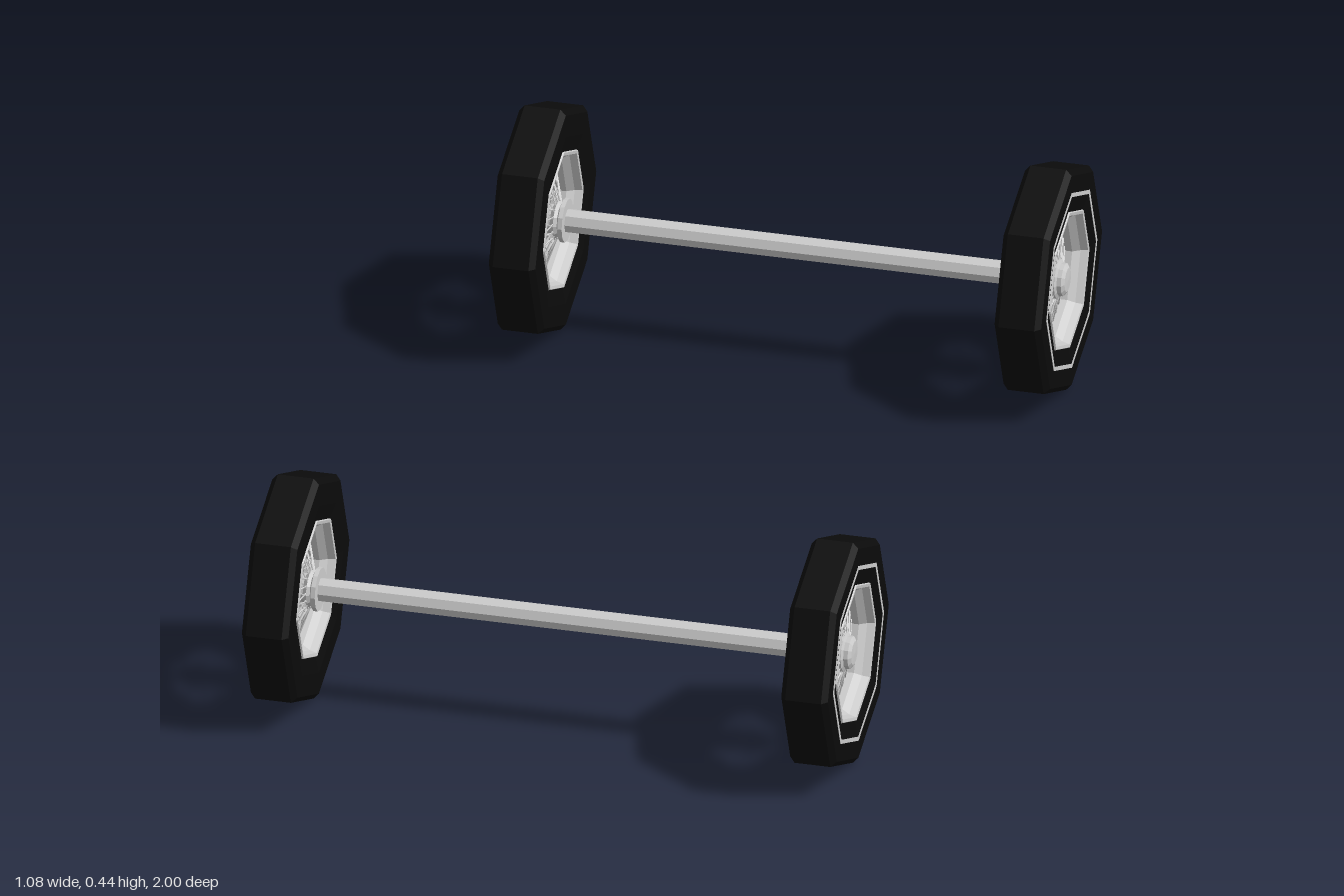
import * as THREE from 'three';
import { mergeGeometries } from 'three/addons/utils/BufferGeometryUtils.js';

const SIDES = 8;
const black = new THREE.MeshStandardMaterial({ color: 0x0b0b0b, flatShading: true });
const metal = new THREE.MeshStandardMaterial({ color: 0xcccccc, flatShading: true });
const thinMetal = new THREE.MeshStandardMaterial({ color: 0xcccccc, flatShading: true, side: THREE.DoubleSide });

// Turns a [radius, x] profile around the x axis
function turned(profile, sides = SIDES) {
  const points = profile.map(([r, x]) => new THREE.Vector2(r, x));
  return new THREE.LatheGeometry(points, sides).rotateZ(-Math.PI / 2);
}

function named(name, geometry, material) {
  const mesh = new THREE.Mesh(geometry, material);
  mesh.name = name;
  return mesh;
}

// Thin wire between two points
function wire(a, b, radius) {
  const dir = b.clone().sub(a);
  const g = new THREE.CylinderGeometry(radius, radius, dir.length(), 4, 1, true);
  g.applyQuaternion(new THREE.Quaternion().setFromUnitVectors(new THREE.Vector3(0, 1, 0), dir.normalize()));
  const mid = a.clone().add(b).multiplyScalar(0.5);
  return g.translate(mid.x, mid.y, mid.z);
}

// Point on a circle, or on an octagon with corners on the axes
function around(x, radius, angle, octagon) {
  const step = (Math.PI * 2) / SIDES;
  const local = (((angle % step) + step) % step) - step / 2;
  const r = octagon ? (radius * Math.cos(step / 2)) / Math.cos(local) : radius;
  return new THREE.Vector3(x, r * Math.cos(angle), r * Math.sin(angle));
}

// Two rows of crossing spokes from the hub flanges to the rim
function spokeGeometry() {
  const parts = [];
  const count = 32;
  for (const hubX of [-0.028, 0.018]) {
    for (let i = 0; i < count; i++) {
      const angle = ((i + (hubX > 0 ? 0.5 : 0)) / count) * Math.PI * 2;
      const lean = i % 2 ? 0.35 : -0.35;
      parts.push(wire(around(hubX, 0.034, angle + lean, false), around(0, 0.114, angle, true), 0.0014));
    }
  }
  return mergeGeometries(parts);
}

// Wheel with its outer side towards +x
function createWheel() {
  const wheel = new THREE.Group();
  wheel.add(named('tyre', turned([
    [0.134, -0.037], [0.165, -0.043], [0.207, -0.043], [0.218, -0.033],
    [0.218, 0.033], [0.207, 0.043], [0.165, 0.043], [0.134, 0.037], [0.134, -0.037],
  ]), black));
  wheel.add(named('sidewallStripe', turned([
    [0.173, 0.0425], [0.173, 0.0436], [0.165, 0.0436], [0.165, 0.0425],
  ]), metal));
  wheel.add(named('rim', turned([
    [0.135, 0.036], [0.133, 0.04], [0.127, 0.039], [0.123, 0.026], [0.114, 0.013],
    [0.114, -0.013], [0.123, -0.026], [0.127, -0.039], [0.133, -0.04], [0.135, -0.036],
  ]), thinMetal));
  wheel.add(named('spokes', spokeGeometry(), metal));
  // Hub with an inner flange and a domed outer cap
  wheel.add(named('hub', turned([
    [0, -0.046], [0.04, -0.046], [0.04, -0.038], [0.03, -0.034], [0.034, -0.028],
    [0.026, -0.02], [0.026, 0.01], [0.036, 0.014], [0.036, 0.02], [0.03, 0.023],
    [0.03, 0.031], [0.022, 0.036], [0, 0.037],
  ], 12), metal));
  return wheel;
}

export function createModel() {
  const model = new THREE.Group();
  model.name = 'wheelSet';
  const y = 0.218;

  for (const [end, z, wheelX] of [['front', 0.782, 0.498], ['rear', -0.782, 0.467]]) {
    const axle = new THREE.CylinderGeometry(0.022, 0.022, wheelX * 2 - 0.06, SIDES);
    const mesh = named(end + 'Axle', axle.rotateZ(Math.PI / 2), metal);
    mesh.position.set(0, y, z);
    model.add(mesh);

    for (const side of [1, -1]) {
      const wheel = createWheel();
      wheel.name = end + (side > 0 ? 'Left' : 'Right') + 'Wheel';
      wheel.position.set(side * wheelX, y, z);
      if (side < 0) wheel.rotation.y = Math.PI;
      model.add(wheel);
    }
  }
  return model;
}
